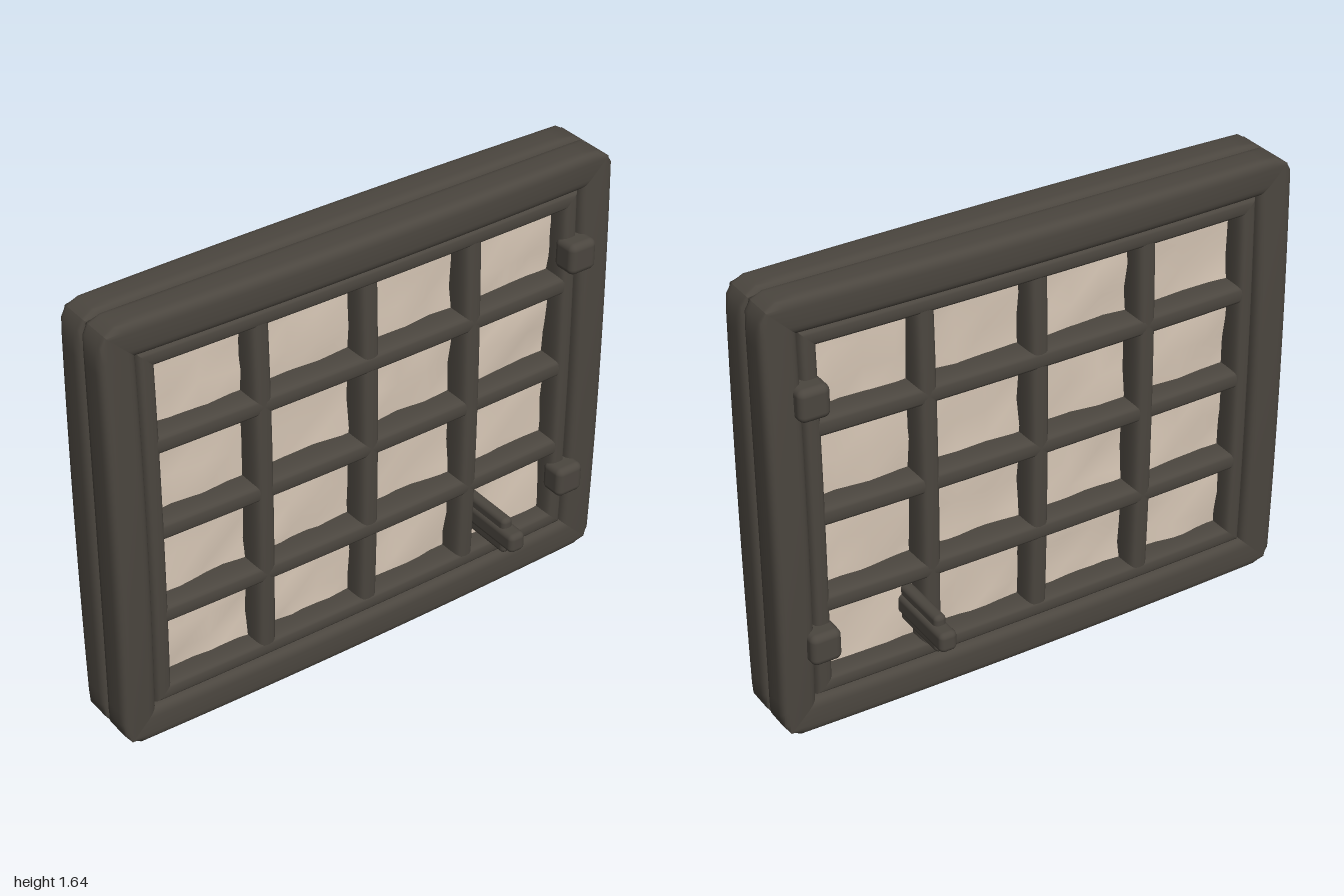
import * as THREE from 'three';
import { RoundedBoxGeometry } from 'three/addons/geometries/RoundedBoxGeometry.js';

const CY = 0.821, HZ = 1, HY = 0.82, CORNER = 0.1;
const frameMat = new THREE.MeshStandardMaterial({ color: 0x4b463f });
frameMat.name = 'dark iron';
const paneMat = new THREE.MeshStandardMaterial({ color: 0xd6c6b5, side: THREE.DoubleSide });
paneMat.name = 'pale pane';

// pull points into the rounded outer corner
function roundCorner(z, y) {
  const dz = Math.abs(z) - (HZ - CORNER), dy = Math.abs(y) - (HY - CORNER);
  const d = Math.hypot(dz, dy);
  if (dz <= 0 || dy <= 0 || d <= CORNER) return [z, y];
  const k = CORNER / d;
  return [Math.sign(z) * (HZ - CORNER + dz * k), Math.sign(y) * (HY - CORNER + dy * k)];
}

// soft bar along z or y, slimmer towards its ends, optionally mitred
function bar({ axis, sign = 1, at, hw, half, xc = 0, hx, slim = 0.12, miter = false }) {
  const N = 32, S = 32, pos = [], idx = [];
  const soft = v => Math.sign(v) * Math.pow(Math.abs(v), 0.5);
  for (let i = 0; i <= S; i++) {
    const t = i / S * 2 - 1;
    for (let j = 0; j < N; j++) {
      const a = j / N * Math.PI * 2, c = soft(Math.cos(a)) * hw;
      const s = t * (half + (miter ? c : 0)), u = sign * (at + c);
      const x = (xc + hx * soft(Math.sin(a))) * (1 - slim * t * t);
      const [z, y] = axis === 'z' ? roundCorner(s, u) : roundCorner(u, s);
      pos.push(x, y + CY, z);
    }
  }
  const flip = (axis === 'z') === (sign > 0);
  for (let i = 0; i < S; i++) for (let j = 0; j < N; j++) {
    const a = i * N + j, b = i * N + (j + 1) % N, c = a + N, d = b + N;
    if (flip) idx.push(a, c, b, b, c, d);
    else idx.push(a, b, c, b, d, c);
  }
  const g = new THREE.BufferGeometry();
  g.setAttribute('position', new THREE.Float32BufferAttribute(pos, 3));
  g.setIndex(idx);
  g.computeVertexNormals();
  return g;
}

// uneven pane sheet facing one side
function paneSheet(side) {
  const g = new THREE.PlaneGeometry(1.66, 1.32, 15, 13);
  g.rotateY(side * Math.PI / 2);
  let seed = side > 0 ? 11 : 37;
  const rnd = () => (seed = (seed * 16807) % 2147483647) / 2147483647;
  for (let k = 0; k < 10; k++) rnd();
  const p = g.attributes.position;
  for (let i = 0; i < p.count; i++) p.setX(i, side * (0.045 + (rnd() - 0.5) * 0.022));
  g.translate(0, CY, 0);
  g.computeVertexNormals();
  return g;
}

export function createModel() {
  const model = new THREE.Group();
  model.name = 'window';
  const add = (name, geo, mat = frameMat, x = 0, y = 0, z = 0) => {
    const m = new THREE.Mesh(geo, mat);
    m.name = name;
    m.position.set(x, y, z);
    model.add(m);
  };

  // outer frame: two mirrored layers of four mitred rails
  const hw = 0.0675;
  for (const sx of [1, -1]) for (const sign of [1, -1]) {
    const o = { sign, hw, xc: sx * 0.07, hx: 0.07, miter: true };
    add('frameRail', bar({ ...o, axis: 'z', at: HY - hw, half: HZ - hw }));
    add('framePost', bar({ ...o, axis: 'y', at: HZ - hw, half: HY - hw }));
  }

  // inner sash
  for (const sign of [1, -1]) {
    const o = { sign, hw: 0.036, hx: 0.122, slim: 0.08, miter: true };
    add('sashRail', bar({ ...o, axis: 'z', at: 0.656, half: 0.831 }));
    add('sashStile', bar({ ...o, axis: 'y', at: 0.831, half: 0.656 }));
  }

  // glazing bars
  for (const k of [-1, 0, 1]) {
    add('crossBar', bar({ axis: 'z', at: k * 0.333, hw: 0.041, half: 0.83, hx: 0.13, slim: 0.1 }));
    add('uprightBar', bar({ axis: 'y', at: k * 0.42, hw: 0.041, half: 0.66, hx: 0.13, slim: 0.1 }));
  }

  // panes and hinges on both sides
  for (const sx of [1, -1]) {
    add('panes', paneSheet(sx), paneMat);
    for (const y of [0.36, 1.282])
      add('hinge', new RoundedBoxGeometry(0.1, 0.118, 0.112, 4, 0.025), frameMat, sx * 0.125, y, -0.847);
  }

  // handle running through the window
  add('handleCore', new RoundedBoxGeometry(0.66, 0.075, 0.066, 4, 0.02), frameMat, 0, 0.338, -0.482);
  add('handleFin', new RoundedBoxGeometry(0.55, 0.145, 0.044, 4, 0.018), frameMat, 0, 0.338, -0.48);
  return model;
}
